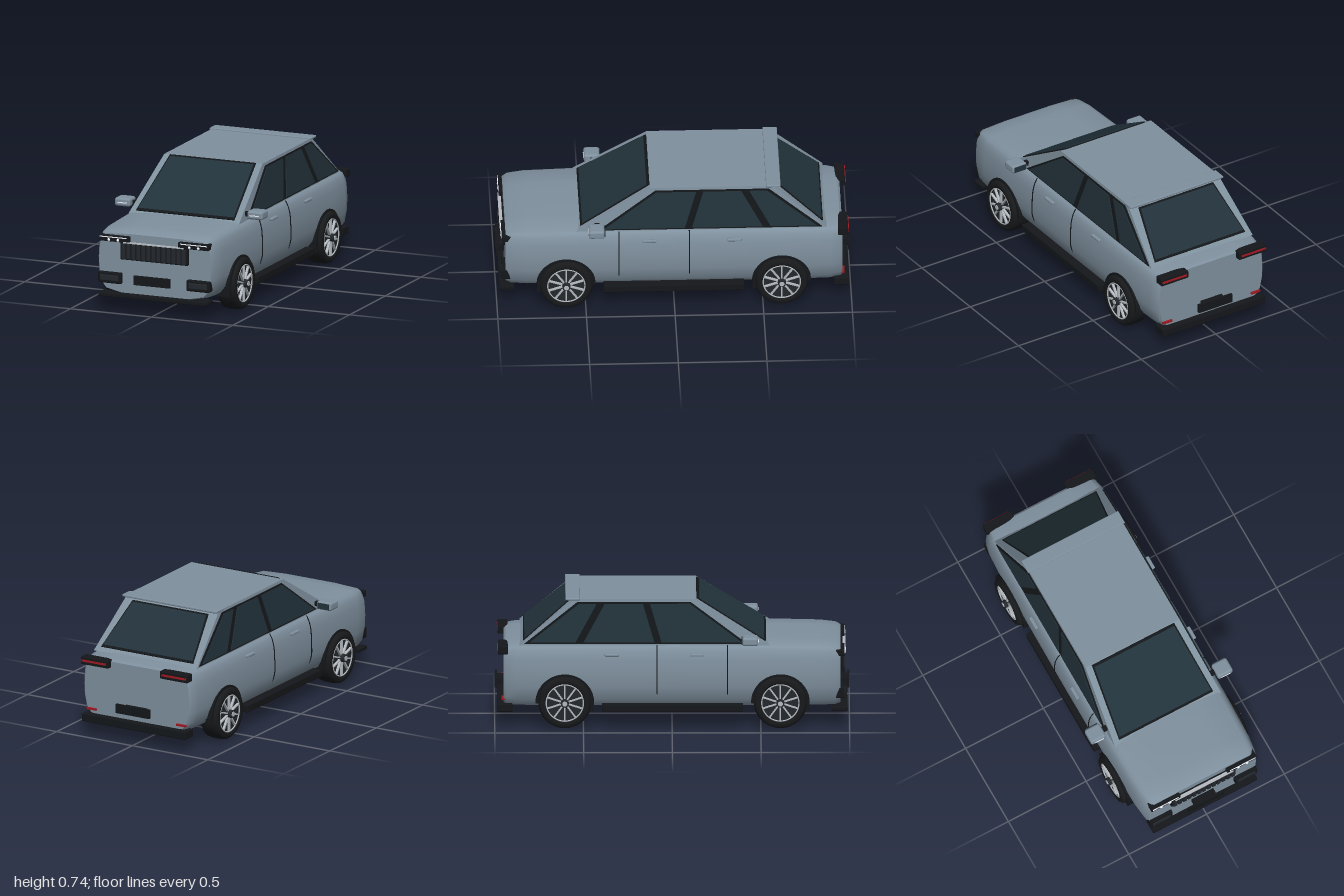
import * as THREE from 'three';
import { toCreasedNormals } from 'three/addons/utils/BufferGeometryUtils.js';
import { RoundedBoxGeometry } from 'three/addons/geometries/RoundedBoxGeometry.js';
import { ConvexGeometry } from 'three/addons/geometries/ConvexGeometry.js';

const mat = (color, side = THREE.FrontSide) => new THREE.MeshStandardMaterial({ color, side });
const paint = mat(0x7f909e), black = mat(0x14171a), glass = mat(0x22323a), trim = mat(0x24282c);
const silver = mat(0xb4bac0), white = mat(0xf0f6ff), red = mat(0xa01820), tyreMat = mat(0x17191b, THREE.DoubleSide);
const V = (x, y, z) => new THREE.Vector3(x, y, z);

function add(parent, name, geo, material, x = 0, y = 0, z = 0) {
  const m = new THREE.Mesh(geo, material);
  m.name = name;
  m.position.set(x, y, z);
  parent.add(m);
  return m;
}

// Box given by its limits on each axis; r rounds the edges
function box(parent, name, material, [x0, x1], [y0, y1], [z0, z1], r = 0) {
  const w = Math.abs(x1 - x0), h = y1 - y0, d = z1 - z0;
  const geo = r ? new RoundedBoxGeometry(w, h, d, 3, r) : new THREE.BoxGeometry(w, h, d);
  return add(parent, name, geo, material, (x0 + x1) / 2, (y0 + y1) / 2, (z0 + z1) / 2);
}

// Lower body: one rounded section, scaled and lofted along z
function bodyGeometry() {
  const half = [[0.6, 0], [0.87, 0.06], [0.95, 0.16], [0.99, 0.35], [1, 0.55], [0.985, 0.77],
    [0.955, 0.89], [0.92, 0.95], [0.86, 0.98], [0.45, 1]];
  const ring = [...half, ...half.map(([x, t]) => [-x, t]).reverse()];
  // z, half width, bottom, top
  const stations = [[-0.95, 0.345, 0.115, 0.455], [-0.938, 0.355, 0.105, 0.467], [-0.88, 0.367, 0.1, 0.475],
    [-0.7, 0.376, 0.1, 0.48], [0, 0.38, 0.1, 0.485], [0.55, 0.378, 0.1, 0.482], [0.83, 0.371, 0.1, 0.477],
    [0.92, 0.36, 0.103, 0.469], [0.95, 0.345, 0.112, 0.455]];
  const n = ring.length, pos = [], index = [];
  for (const [z, w, y0, y1] of stations)
    for (const [x, t] of ring) pos.push(x * w, y0 + (y1 - y0) * t, z);
  for (let i = 0; i < stations.length - 1; i++)
    for (let j = 0; j < n; j++) {
      const a = i * n + j, b = i * n + (j + 1) % n;
      index.push(a, b, a + n, b, b + n, a + n);
    }
  const last = (stations.length - 1) * n;
  for (let j = 1; j < n - 1; j++) {
    index.push(0, j + 1, j);
    index.push(last, last + j, last + j + 1);
  }
  const geo = new THREE.BufferGeometry();
  geo.setAttribute('position', new THREE.Float32BufferAttribute(pos, 3));
  geo.setIndex(index);
  return toCreasedNormals(geo, 0.6);
}

// Sloping planes of the cabin at height y
const slope = (y, low, high) => low + (high - low) * (y - 0.47) / 0.26;
const sideX = (y) => slope(y, 0.34, 0.302);
const frontZ = (y) => slope(y, 0.55, 0.13);
const rearZ = (y) => slope(y, -0.86, -0.555);

// Flat pane laid on a plane and pushed out along its normal
function pane(parent, name, material, pts, normal, depth) {
  const n = normal.clone().normalize();
  const all = [-0.004, depth].flatMap((d) => pts.map((p) => p.clone().addScaledVector(n, d)));
  return add(parent, name, new ConvexGeometry(all), material);
}

function makeCabin() {
  const g = new THREE.Group();
  g.name = 'cabin';
  const corners = [0.47, 0.728].flatMap((y) => [-1, 1].flatMap((s) =>
    [V(s * sideX(y), y, frontZ(y)), V(s * sideX(y), y, rearZ(y))]));
  add(g, 'cabinShell', new ConvexGeometry(corners), paint);

  // Windscreen and rear window: black surround with proud glass
  const screen = (name, zAt, normal, y0, y1, x0, x1) => {
    const quad = (e) => [[y0 - e, x0 + e], [y1 + e, x1 + e]].flatMap(([y, x]) => [V(-x, y, zAt(y)), V(x, y, zAt(y))]);
    pane(g, name + 'Surround', black, quad(0), normal, 0.006);
    pane(g, name, glass, quad(-0.008), normal, 0.009);
  };
  screen('windscreen', frontZ, V(0, 0.42, 0.26), 0.485, 0.726, 0.302, 0.264);
  screen('rearWindow', rearZ, V(0, 0.305, -0.26), 0.49, 0.705, 0.303, 0.25);

  // Side windows, split by two slanted pillars
  for (const s of [-1, 1]) {
    const normal = V(s * 0.26, 0.038, 0);
    const quad = (y0, y1, za0, zb0, za1, zb1) => [[y0, za0], [y0, zb0], [y1, za1], [y1, zb1]]
      .map(([y, z]) => V(s * sideX(y), y, z));
    pane(g, 'sideWindowSurround', black, quad(0.478, 0.712, 0.425, -0.835, 0.105, -0.535), normal, 0.007);
    pane(g, 'frontSideWindow', glass, quad(0.486, 0.703, 0.395, -0.06, 0.1, -0.125), normal, 0.011);
    pane(g, 'rearSideWindow', glass, quad(0.486, 0.703, -0.1, -0.5, -0.165, -0.38), normal, 0.011);
    pane(g, 'quarterWindow', glass, quad(0.486, 0.703, -0.545, -0.805, -0.425, -0.525), normal, 0.011);
  }
  box(g, 'roofSpoiler', paint, [-0.312, 0.312], [0.722, 0.736], [-0.602, -0.52], 0.005);
  return g;
}

// Wheel with its axis on y and its outer face at +y
function makeWheel() {
  const g = new THREE.Group();
  g.name = 'wheel';
  const profile = [[0.1, -0.057], [0.135, -0.057], [0.146, -0.048], [0.15, -0.025], [0.15, 0.025],
    [0.146, 0.046], [0.135, 0.057], [0.115, 0.057], [0.106, 0.05], [0.104, 0.03]];
  add(g, 'tyre', new THREE.LatheGeometry(profile.map(([x, y]) => new THREE.Vector2(x, y)), 48), tyreMat);
  add(g, 'rimDisc', new THREE.CylinderGeometry(0.106, 0.106, 0.09, 40), trim, 0, -0.005, 0);
  add(g, 'rimRing', new THREE.TorusGeometry(0.105, 0.004, 8, 48), silver, 0, 0.051, 0).rotation.x = Math.PI / 2;
  for (let i = 0; i < 10; i++) {
    const arm = new THREE.Group();
    arm.rotation.y = i * Math.PI / 5;
    box(arm, 'spoke', silver, [0.02, 0.104], [0.038, 0.054], [-0.004, 0.004]);
    g.add(arm);
  }
  add(g, 'hub', new THREE.CylinderGeometry(0.022, 0.025, 0.035, 24), trim, 0, 0.056, 0);
  add(g, 'hubCap', new THREE.CylinderGeometry(0.014, 0.014, 0.006, 20), silver, 0, 0.075, 0);
  return g;
}

// Parts of one side; s is +1 on the left, -1 on the right
function makeSide(s) {
  const g = new THREE.Group();
  g.name = s > 0 ? 'leftSide' : 'rightSide';
  const X = (a, b) => [s * a, s * b];

  for (const z of [0.61, -0.605]) {
    const arch = new THREE.Shape();
    arch.moveTo(0.165, -0.045);
    arch.absarc(0, 0, 0.165, 0, Math.PI, false);
    arch.lineTo(-0.165, -0.045);
    const geo = new THREE.ExtrudeGeometry(arch, { depth: 0.084, bevelEnabled: false, curveSegments: 32 });
    geo.rotateY(Math.PI / 2);
    add(g, 'wheelArch', geo, black, s > 0 ? 0.3 : -0.384, 0.145, z);
    const wheel = makeWheel();
    wheel.position.set(s * 0.35, 0.15, z);
    wheel.rotation.z = -s * Math.PI / 2;
    g.add(wheel);
  }
  box(g, 'sill', black, X(0.33, 0.395), [0.095, 0.138], [-0.395, 0.4], 0.006);

  // Door gaps follow the curve of the flank
  for (const z of [0.312, -0.085]) {
    const line = [[0.345, 0.15], [0.379, 0.235], [0.381, 0.31], [0.376, 0.395], [0.362, 0.445], [0.347, 0.472]];
    const curve = new THREE.CatmullRomCurve3(line.map(([x, y]) => V(s * x, y, z)));
    add(g, 'doorGap', new THREE.TubeGeometry(curve, 20, 0.003, 6), black);
  }
  for (const z of [0.14, -0.34]) box(g, 'doorHandle', paint, X(0.365, 0.385), [0.413, 0.429], [z - 0.04, z + 0.04], 0.005);

  // Mirror
  box(g, 'mirrorStem', black, X(0.325, 0.37), [0.495, 0.522], [0.42, 0.45], 0.006);
  box(g, 'mirrorHousing', paint, X(0.36, 0.456), [0.488, 0.537], [0.395, 0.485], 0.014);
  box(g, 'mirrorIndicator', white, X(0.378, 0.435), [0.509, 0.514], [0.48, 0.488]);
  box(g, 'mirrorGlass', glass, X(0.372, 0.446), [0.497, 0.529], [0.391, 0.4]);

  // Headlamp and lower front insert
  box(g, 'headlamp', black, X(0.15, 0.338), [0.406, 0.442], [0.92, 0.972], 0.005);
  box(g, 'headlampStrip', white, X(0.165, 0.33), [0.43, 0.435], [0.965, 0.976]);
  for (const x of [0.22, 0.275])
    add(g, 'headlampLens', new THREE.SphereGeometry(0.009, 16, 12), white, s * x, 0.416, 0.97);
  box(g, 'frontInsert', black, X(0.2, 0.343), [0.163, 0.227], [0.92, 0.972], 0.008);
  box(g, 'frontInsertPanel', trim, X(0.215, 0.33), [0.178, 0.212], [0.96, 0.977], 0.005);

  // Tail lamp and reflector
  box(g, 'tailLamp', black, X(0.17, 0.352), [0.42, 0.466], [-0.982, -0.925], 0.006);
  box(g, 'tailLampStrip', red, X(0.185, 0.345), [0.438, 0.449], [-0.987, -0.975]);
  box(g, 'rearReflector', red, X(0.265, 0.325), [0.152, 0.163], [-0.962, -0.94]);
  return g;
}

export function createModel() {
  const car = new THREE.Group();
  car.name = 'car';
  add(car, 'body', bodyGeometry(), paint);
  car.add(makeCabin(), makeSide(1), makeSide(-1));

  // Grille with upright slats and a bright top strip
  box(car, 'grille', black, [-0.208, 0.208], [0.307, 0.408], [0.92, 0.966], 0.005);
  for (let i = 0; i < 13; i++) {
    const x = (i - 6) * 0.031;
    box(car, 'grilleSlat', trim, [x - 0.011, x + 0.011], [0.315, 0.4], [0.96, 0.975]);
  }
  box(car, 'grilleStrip', silver, [-0.186, 0.186], [0.405, 0.411], [0.96, 0.979]);

  // Bumpers and blank number plates
  box(car, 'frontSplitter', black, [-0.335, 0.335], [0.088, 0.11], [0.9, 0.987], 0.005);
  box(car, 'rearBumper', black, [-0.342, 0.342], [0.085, 0.132], [-0.987, -0.9], 0.006);
  box(car, 'frontPlate', black, [-0.112, 0.112], [0.175, 0.228], [0.986, 1]);
  box(car, 'frontPlateBracket', black, [-0.07, 0.07], [0.185, 0.218], [0.94, 0.988]);
  box(car, 'rearPlate', black, [-0.112, 0.112], [0.175, 0.228], [-1, -0.986]);
  box(car, 'rearPlateBracket', black, [-0.07, 0.07], [0.185, 0.218], [-0.988, -0.94]);
  return car;
}
